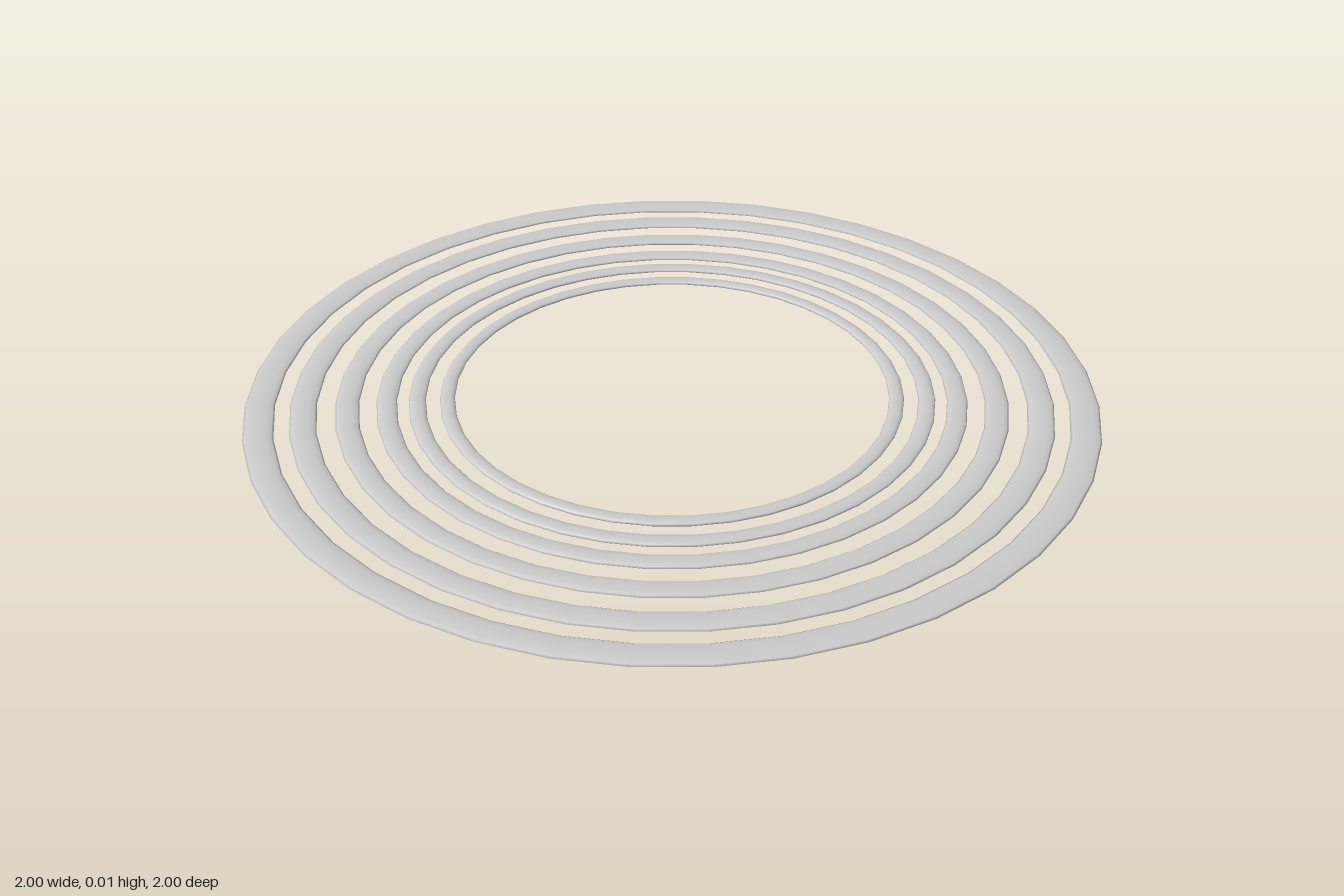
import * as THREE from 'three';

const HEIGHT = 0.012;

// Flattened torus lying on the ground between two radii
function makeRing(outer, inner, material) {
  const tube = (outer - inner) / 2;
  const geometry = new THREE.TorusGeometry((outer + inner) / 2, tube, 12, 40);
  geometry.rotateX(-Math.PI / 2);
  geometry.scale(1, HEIGHT / 2 / tube, 1);
  geometry.translate(0, HEIGHT / 2, 0);
  return new THREE.Mesh(geometry, material);
}

export function createModel() {
  const group = new THREE.Group();
  group.name = 'concentricRings';
  const material = new THREE.MeshStandardMaterial({ color: 0xcccccc });

  // Outer and inner radius of each ring, from the outside in
  const rings = [
    [1.0, 0.93], [0.895, 0.833], [0.79, 0.735],
    [0.695, 0.647], [0.62, 0.58], [0.547, 0.512],
  ];
  rings.forEach(([outer, inner], i) => {
    const ring = makeRing(outer, inner, material);
    ring.name = `ring${i + 1}`;
    group.add(ring);
  });
  return group;
}
